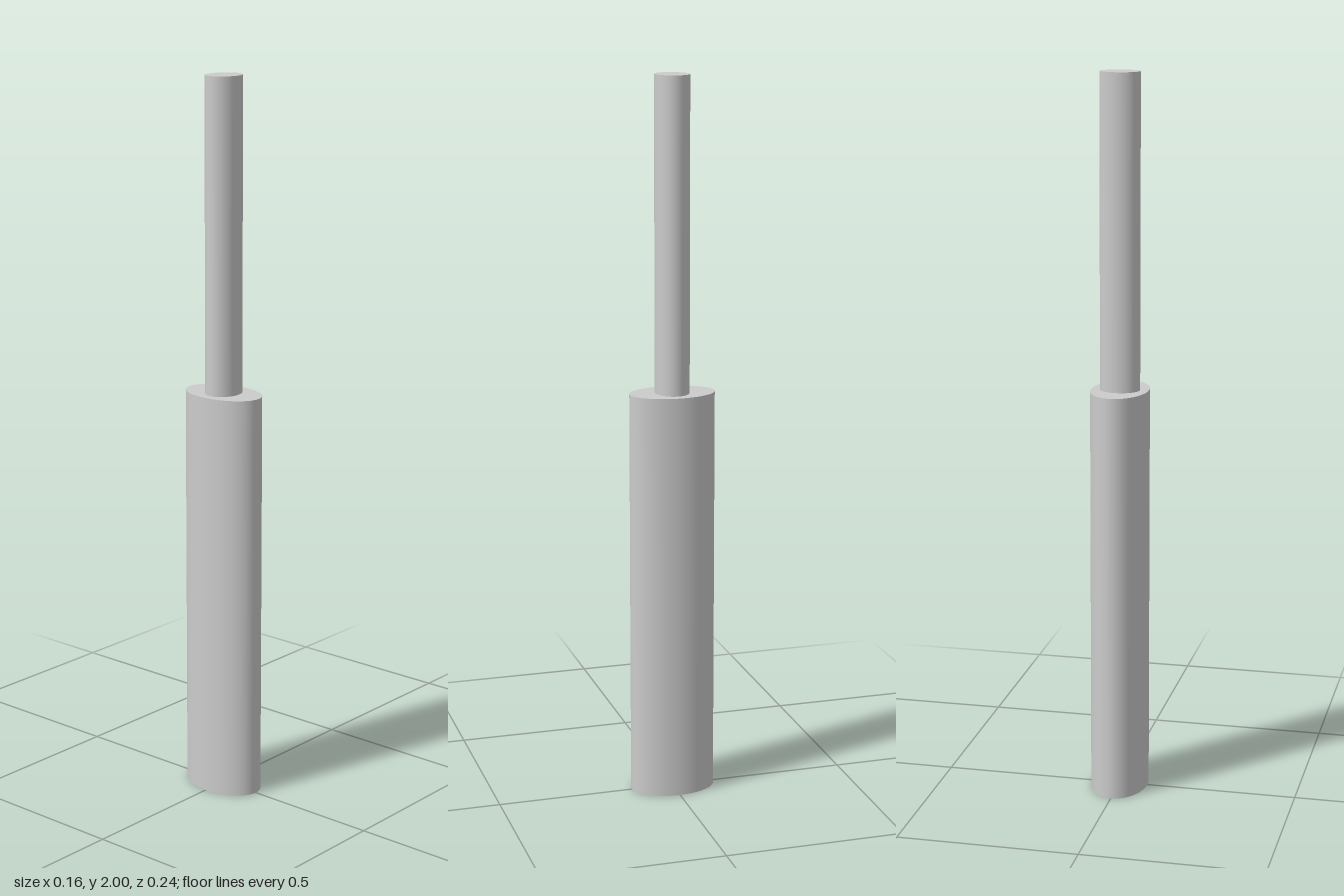
import * as THREE from 'three';

const material = new THREE.MeshStandardMaterial({ color: 0xcccccc });

// Upright rod with an elliptical section, from height y0 to y1
function ellipticalRod(name, rx, rz, y0, y1) {
  const geometry = new THREE.CylinderGeometry(1, 1, y1 - y0, 96);
  geometry.scale(rx, 1, rz);
  geometry.translate(0, (y0 + y1) / 2, 0);
  const mesh = new THREE.Mesh(geometry, material);
  mesh.name = name;
  return mesh;
}

export function createModel() {
  const group = new THREE.Group();
  group.name = 'steppedRod';
  // Thick lower handle, deeper than it is wide
  group.add(ellipticalRod('handle', 0.079, 0.119, 0, 1.143));
  // Thin upper shaft, slightly wider than it is deep
  group.add(ellipticalRod('shaft', 0.055, 0.047, 1.143, 2));
  return group;
}
